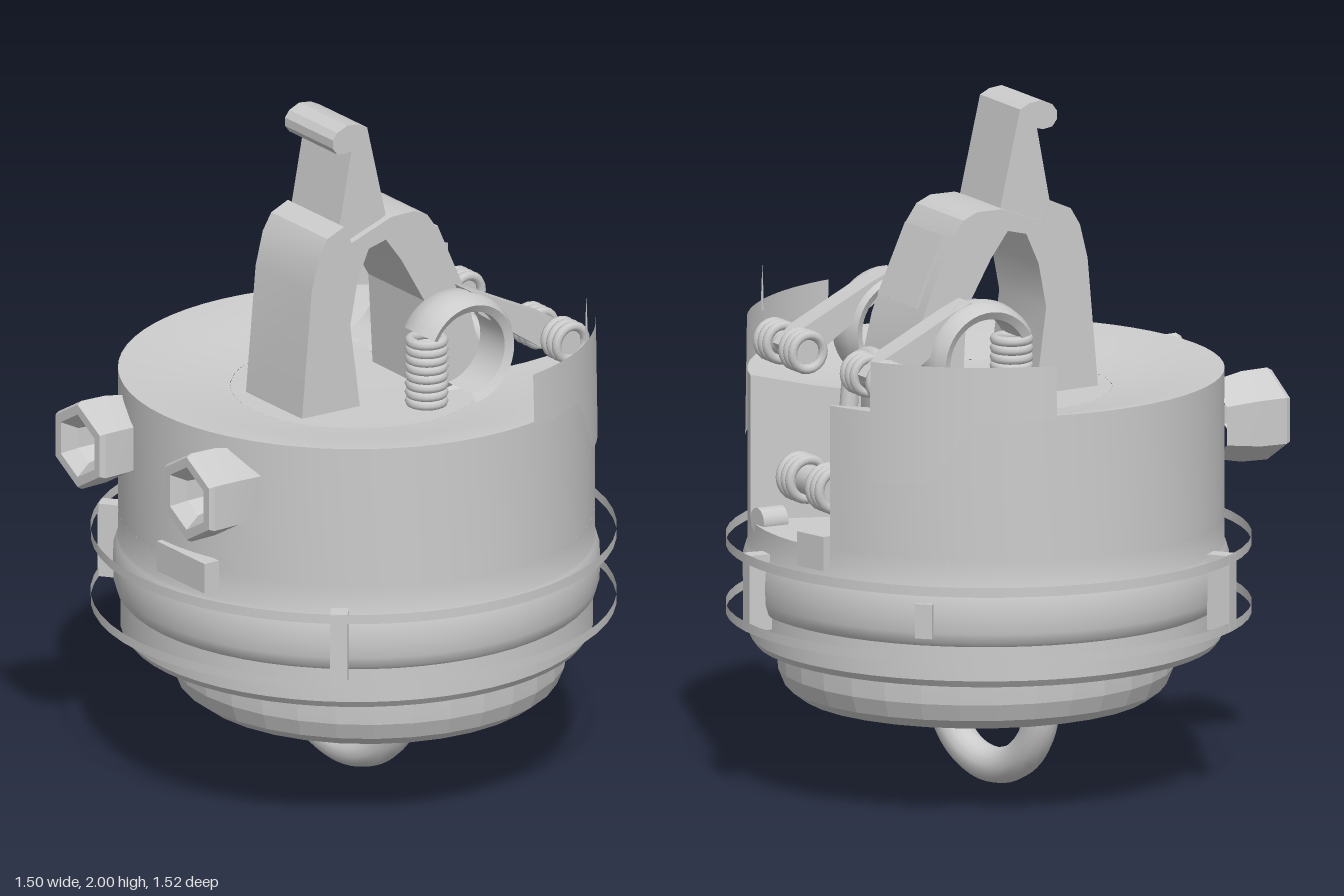
import * as THREE from 'three';
import { toCreasedNormals } from 'three/addons/utils/BufferGeometryUtils.js';

const CX = 0.01, CZ = -0.013, TOP = 1.21;
const rad = THREE.MathUtils.degToRad;

export function createModel() {
  const root = new THREE.Group();
  const grey = new THREE.MeshStandardMaterial({ color: 0xcccccc });
  const thin = new THREE.MeshStandardMaterial({ color: 0xcccccc, side: THREE.DoubleSide });

  const add = (name, geo, x = 0, y = 0, z = 0, mat = grey) => {
    const m = new THREE.Mesh(geo, mat);
    m.name = name;
    m.position.set(x, y, z);
    root.add(m);
    return m;
  };
  const crease = (g, a = 30) => toCreasedNormals(g, rad(a));
  const outline = pts => new THREE.Shape(pts.map(p => new THREE.Vector2(...p)));
  const lathe = (pts, seg, start = 0, len = Math.PI * 2) =>
    new THREE.LatheGeometry(pts.map(p => new THREE.Vector2(...p)), seg, start, len);
  // Side outline given as [z, y], extruded along x and centred on it
  const sideExtrude = (pts, width) => {
    const g = new THREE.ExtrudeGeometry(outline(pts), { depth: width, bevelEnabled: false });
    g.rotateY(-Math.PI / 2);
    g.translate(width / 2, 0, 0);
    return crease(g, 25);
  };
  const tube = (pts, r, seg) => new THREE.TubeGeometry(
    new THREE.CatmullRomCurve3(pts.map(p => new THREE.Vector3(...p))), seg, r, 10);
  // Row of rings forming a tight coil
  const coil = (name, r, wire, count, pitch, x, y, z, alongX) => {
    const g = new THREE.Group();
    g.name = name;
    for (let i = 0; i < count; i++) {
      const m = new THREE.Mesh(new THREE.TorusGeometry(r - wire, wire, 8, 20), grey);
      const d = (i - (count - 1) / 2) * pitch;
      if (alongX) { m.rotation.y = Math.PI / 2; m.position.x = d; }
      else { m.rotation.x = Math.PI / 2; m.position.y = d; }
      g.add(m);
    }
    g.position.set(x, y, z);
    root.add(g);
  };

  // Upper drum: wall and dished top, open in a wedge at the back
  const R = 0.68, half = 0.35, IN = 0.36;
  add('upperDrum', crease(lathe([
    [R, 0.79], [R, TOP], [0.672, TOP], [0.5, 1.175], [IN, 1.155],
  ], 56, Math.PI + half, Math.PI * 2 - half * 2), 20), CX, 0, CZ);
  add('drumCore', crease(lathe([[IN, 0.79], [IN, 1.155], [0, 1.145]], 40)), CX, 0, CZ);
  for (const s of [-1, 1]) {
    const g = new THREE.ShapeGeometry(outline([
      [IN, 0.79], [R, 0.79], [R, TOP], [0.672, TOP], [0.5, 1.175], [IN, 1.155],
    ]));
    g.rotateY(Math.PI / 2 + s * half);
    add('notchWall', g, CX, 0, CZ, thin);
  }

  // Stepped lower drum with a bulging middle band
  add('lowerDrum', crease(lathe([
    [0, 0.42], [0.66, 0.42], [0.674, 0.44], [0.674, 0.54], [0.684, 0.55], [0.693, 0.58],
    [0.695, 0.625], [0.693, 0.67], [0.684, 0.7], [0.68, 0.71], [0.68, 0.79], [0, 0.79],
  ], 56)), CX, 0, CZ);

  // Rounded, faceted base dish
  add('baseDish', crease(lathe([
    [0, 0.25], [0.45, 0.25], [0.505, 0.26], [0.545, 0.29], [0.566, 0.34], [0.572, 0.42], [0.572, 0.44],
  ], 32), 8), 0.05, 0, -0.025);

  // Thin hoops around the lower drum, with their posts
  for (const y of [0.716, 0.518])
    add('hoop', new THREE.CylinderGeometry(0.75, 0.75, 0.028, 56, 1, true), 0, y, -0.01, thin);
  for (const [x, z, r, h] of [[0.56, 0.44, 0.71, 0.22], [-0.56, 0.44, 0.71, 0.22], [0.09, -0.73, 0.72, 0.22], [-0.5, -0.5, 0.675, 0.1]]) {
    const a = Math.atan2(x, z);
    add('hoopPost', new THREE.BoxGeometry(0.05, h, 0.07), Math.sin(a) * r, 0.617, Math.cos(a) * r)
      .rotation.y = a;
  }

  // Hanging loop under the base
  const loop = add('bottomLoop', new THREE.TorusGeometry(0.21, 0.052, 14, 32, Math.PI), -0.005, 0.265, 0);
  loop.rotation.set(0, 0.22, Math.PI);

  // Small plates on the drum wall
  add('frontTab', new THREE.BoxGeometry(0.235, 0.09, 0.05), 0.125, 0.785, 0.66);
  add('backTab', new THREE.BoxGeometry(0.11, 0.1, 0.05), -0.17, 0.78, -0.665).rotation.y = 0.25;

  // Hollow hexagonal nuts on the front
  for (const x of [-0.275, 0.26]) {
    const g = lathe([
      [0.112, -0.2], [0.132, -0.1], [0.134, -0.015], [0.125, 0], [0.095, 0], [0.06, -0.04], [0.055, -0.13], [0, -0.13],
    ], 6);
    g.rotateX(Math.PI / 2);
    add('hexNut', crease(g, 20), x, 1.05, 0.76);
  }

  // Two-legged clip with a hooked head
  add('clipLegs', sideExtrude([
    [0.275, 1.14], [0.24, 1.53], [0.215, 1.63], [0.185, 1.68], [0.127, 1.705], [0.1, 1.65], [-0.04, 1.7],
    [-0.12, 1.7], [-0.165, 1.68], [-0.2, 1.63], [-0.26, 1.5], [-0.31, 1.38], [-0.355, 1.2], [-0.355, 1.14],
    [-0.17, 1.14], [-0.155, 1.42], [-0.075, 1.56], [-0.02, 1.635], [0.04, 1.62], [0.08, 1.53],
    [0.105, 1.4], [0.07, 1.14],
  ], 0.275), 0.007);
  add('clipHead', sideExtrude([
    [0.127, 1.7], [0.085, 1.92], [0.105, 1.915], [0.135, 1.92], [0.15, 1.94], [0.15, 1.965], [0.135, 1.985],
    [0.1, 2], [0.06, 1.995], [0.03, 1.98], [-0.035, 1.7], [0.1, 1.64],
  ], 0.235), 0.005);
  add('clipPlate', new THREE.BoxGeometry(0.22, 0.22, 0.014), 0.02, 1.53, -0.249)
    .rotation.x = 0.42;

  for (const s of [-1, 1]) {
    // Thick curled band, its arm and the two springs
    const band = lathe([
      [0.125, -0.06], [0.148, -0.074], [0.165, -0.045], [0.172, 0], [0.165, 0.045], [0.148, 0.074], [0.125, 0.06], [0.125, -0.06],
    ], 28, rad(-265), rad(237));
    band.rotateZ(-Math.PI / 2);
    add('curledBand', crease(band), s * 0.258, 1.305, -0.187, thin);
    add('bandArm', sideExtrude([
      [-0.22, 1.475], [-0.28, 1.45], [-0.5, 1.34], [-0.56, 1.29], [-0.53, 1.24], [-0.47, 1.25], [-0.25, 1.4],
    ], 0.075), s * 0.24);
    coil('uprightSpring', 0.063, 0.015, 8, 0.026, s * 0.26, 1.261, -0.08, false);
    for (const d of [-1, 1])
      coil('pivotCoil', 0.064, 0.014, 3, 0.028, s * 0.255 + d * 0.075, 1.28, -0.515, true);
    const axle = new THREE.CylinderGeometry(0.036, 0.036, 0.2, 14);
    axle.rotateZ(Math.PI / 2);
    add('pivotAxle', axle, s * 0.255, 1.28, -0.515);

    // Raised guard wall on the rear rim, its torn lower edge deepening toward the notch
    const mid = s > 0 ? rad(125) : rad(235);
    const wall = new THREE.CylinderGeometry(0.682, 0.687, 0.355, 14, 1, true, mid - rad(23), rad(46));
    const p = wall.attributes.position;
    for (let i = 0; i < p.count; i++) {
      const back = THREE.MathUtils.smoothstep(-p.getZ(i), 0.35, 0.48);
      if (p.getY(i) < 0) p.setY(i, 0.02 - 0.19 * back);
    }
    add('guardWall', wall, CX, 1.178, CZ, thin);
  }
  add('guardSpike', new THREE.ConeGeometry(0.006, 0.14, 4), 0.49, 1.405, -0.475);

  // Spool and wire bail inside the rear notch
  for (const d of [-1, 1])
    coil('spoolCoil', 0.072, 0.015, 3, 0.028, 0.015 + d * 0.085, 0.93, -0.56, true);
  const spool = new THREE.CylinderGeometry(0.045, 0.045, 0.22, 14);
  spool.rotateZ(Math.PI / 2);
  add('spoolCore', spool, 0.015, 0.93, -0.56);
  add('wireBail', tube([
    [-0.09, 0.92, -0.43], [-0.09, 1.1, -0.41], [-0.085, 1.23, -0.395], [-0.04, 1.275, -0.385],
    [0.05, 1.275, -0.385], [0.1, 1.23, -0.395], [0.105, 1.1, -0.41], [0.105, 0.92, -0.43],
  ], 0.027, 40));
  const stub = new THREE.CylinderGeometry(0.04, 0.04, 0.08, 12);
  stub.rotateX(Math.PI / 2);
  add('notchStub', stub, 0.17, 0.8, -0.63);

  return root;
}
